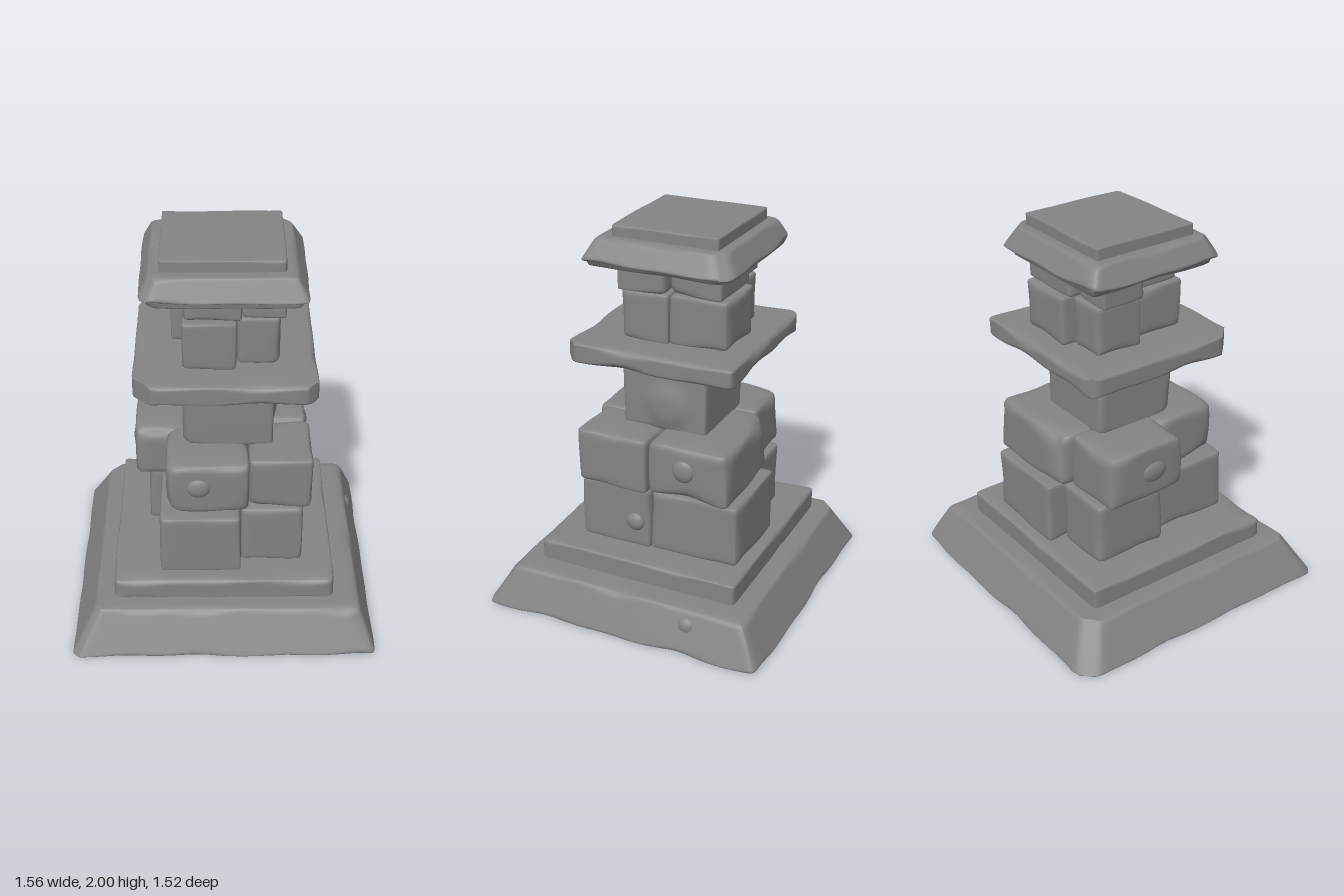
import * as THREE from 'three';
import { mergeVertices } from 'three/addons/utils/BufferGeometryUtils.js';

const stone = new THREE.MeshStandardMaterial({ color: 0x848484 });
const { lerp, clamp } = THREE.MathUtils;

// Smooth wear pattern, 0..1, continuous over space
function wear(x, y, z, seed) {
  const s = Math.sin(x * 15 + seed * 1.7) + Math.sin(y * 12 + z * 10 + seed * 2.3)
    + Math.sin(z * 16 - x * 7 + seed * 3.1);
  return clamp(0.5 + s / 6, 0, 1);
}

// Worn stone: a box with unevenly rounded edges. x, y, z are [min, max].
// topX, topZ: bounds at the top when the sides slope
// chips: upright corners cut off, as [signX, signZ, size]
// bulge: a soft swelling of the +x face, as [y, z, radius, height]
function block(name, x, y, z, { r = 0.03, topX = x, topZ = z, seed = 1, segs = 14, chips = [], bulge } = {}) {
  const h = [x, y, z].map(([a, b]) => (b - a) / 2);
  const c = [x, y, z].map(([a, b]) => (a + b) / 2);
  let geo = new THREE.BoxGeometry(2, 2, 2, segs, segs, segs);
  geo.deleteAttribute('normal');
  geo.deleteAttribute('uv');
  geo = mergeVertices(geo);
  const pos = geo.attributes.position;
  const p = new THREE.Vector3(), inner = new THREE.Vector3(), radii = new THREE.Vector3();
  for (let i = 0; i < pos.count; i++) {
    // crowd the grid lines towards the edges
    const u = [pos.getX(i), pos.getY(i), pos.getZ(i)].map(t => Math.sin(t * Math.PI / 2));
    p.set(u[0] * h[0], u[1] * h[1], u[2] * h[2]);
    // upright edges wear more than level ones
    const w = wear(c[0] + p.x, c[1] + p.y, c[2] + p.z, seed);
    const rad = r * (0.3 + 1.7 * w * w);
    radii.set(Math.min(rad * 1.6, h[0] * 0.9), Math.min(rad, h[1] * 0.9), Math.min(rad * 1.6, h[2] * 0.9));
    inner.set(
      clamp(p.x, radii.x - h[0], h[0] - radii.x),
      clamp(p.y, radii.y - h[1], h[1] - radii.y),
      clamp(p.z, radii.z - h[2], h[2] - radii.z));
    p.sub(inner).divide(radii).normalize().multiply(radii).add(inner);
    for (const [sx, sz, size] of chips) {
      const over = sx * p.x + sz * p.z - (h[0] + h[2] - size);
      if (over > 0) {
        p.x -= sx * over / 2;
        p.z -= sz * over / 2;
      }
    }
    // place between the lower and upper bounds
    const t = (p.y / h[1] + 1) / 2, fx = (p.x / h[0] + 1) / 2, fz = (p.z / h[2] + 1) / 2;
    p.set(
      lerp(lerp(x[0], topX[0], t), lerp(x[1], topX[1], t), fx),
      c[1] + p.y,
      lerp(lerp(z[0], topZ[0], t), lerp(z[1], topZ[1], t), fz));
    if (bulge && fx > 0.9) {
      const d = Math.hypot(p.y - bulge[0], p.z - bulge[1]) / bulge[2];
      p.x += bulge[3] * Math.exp(-2 * d ** 4);
    }
    pos.setXYZ(i, p.x, p.y, p.z);
  }
  geo.computeVertexNormals();
  const mesh = new THREE.Mesh(geo, stone);
  mesh.name = name;
  return mesh;
}

// Four stones set in a pinwheel, each pushed out past its neighbour
function course(name, y, stones, r, seed) {
  const g = new THREE.Group();
  g.name = name;
  ['frontStone', 'sideStoneA', 'backStone', 'sideStoneB'].forEach((n, i) =>
    g.add(block(n, stones[i][0], y, stones[i][1], { r, seed: seed + i * 2.4 })));
  return g;
}

// Small rounded lump on a stone face
function lump(position, size) {
  const m = new THREE.Mesh(new THREE.SphereGeometry(1, 16, 12), stone);
  m.name = 'stoneLump';
  m.position.set(...position);
  m.scale.set(...size);
  return m;
}

export function createModel() {
  const model = new THREE.Group();
  model.name = 'stonePillar';

  // Sloping plinth and step
  model.add(
    block('plinth', [-0.785, 0.78], [0.005, 0.227], [-0.765, 0.765], {
      topX: [-0.66, 0.69], topZ: [-0.65, 0.64], r: 0.024, seed: 2, segs: 30,
      chips: [[-1, -1, 0.09], [-1, 1, 0.04]],
    }),
    block('plinthStep', [-0.57, 0.565], [0.2, 0.335], [-0.55, 0.55], { r: 0.026, seed: 5, segs: 24 }));

  // Lower stone courses
  model.add(
    course('firstCourse', [0.33, 0.663], [
      [[-0.33, 0.085], [-0.01, 0.465]],
      [[0.085, 0.405], [-0.01, 0.38]],
      [[-0.085, 0.395], [-0.49, -0.01]],
      [[-0.4, -0.085], [-0.4, 0.01]],
    ], 0.022, 1),
    course('secondCourse', [0.665, 0.957], [
      [[-0.295, 0.125], [0, 0.425]],
      [[0.125, 0.447], [-0.01, 0.375]],
      [[-0.125, 0.43], [-0.447, -0.01]],
      [[-0.462, -0.125], [-0.37, 0.09]],
    ], 0.042, 4));

  // Shaft and wide slab
  model.add(
    block('shaft', [-0.21, 0.25], [0.94, 1.34], [-0.25, 0.21],
      { r: 0.02, seed: 3, segs: 24, bulge: [1.08, -0.04, 0.13, 0.025] }),
    block('slab', [-0.447, 0.457], [1.32, 1.425], [-0.475, 0.425], {
      r: 0.034, seed: 7, segs: 24,
      chips: [[-1, 1, 0.1], [1, 1, 0.06], [-1, -1, 0.05]],
    }));

  // Upper stone courses
  model.add(
    course('thirdCourse', [1.42, 1.675], [
      [[-0.205, 0.06], [-0.05, 0.26]],
      [[0.06, 0.275], [-0.055, 0.2]],
      [[-0.06, 0.26], [-0.365, -0.055]],
      [[-0.265, -0.06], [-0.3, -0.04]],
    ], 0.024, 6),
    course('fourthCourse', [1.678, 1.81], [
      [[-0.195, 0.085], [-0.05, 0.235]],
      [[0.085, 0.3], [-0.05, 0.205]],
      [[-0.085, 0.27], [-0.335, -0.05]],
      [[-0.3, -0.085], [-0.29, -0.04]],
    ], 0.024, 9));

  // Cap: flared underside, sloping roof and top plate
  model.add(
    block('capUnderside', [-0.37, 0.36], [1.797, 1.85], [-0.4, 0.33],
      { topX: [-0.395, 0.39], topZ: [-0.42, 0.34], r: 0.014, seed: 8, chips: [[1, -1, 0.06], [-1, 1, 0.05]] }),
    block('capRoof', [-0.414, 0.412], [1.828, 1.942], [-0.44, 0.355], {
      topX: [-0.355, 0.345], topZ: [-0.375, 0.295], r: 0.02, seed: 4, segs: 24,
      chips: [[1, -1, 0.07], [-1, 1, 0.05]],
    }),
    block('capPlate', [-0.305, 0.295], [1.92, 2], [-0.33, 0.238], { r: 0.008, seed: 6 }));

  // Lumps on the stone faces
  const lumps = [
    [[0.4, 0.47, 0.07], [0.03, 0.05, 0.05]],
    [[0.425, 0.83, -0.21], [0.026, 0.06, 0.06]],
    [[-0.13, 0.83, 0.42], [0.06, 0.055, 0.026]],
    [[-0.452, 0.81, -0.1], [0.024, 0.06, 0.08]],
    [[0.7, 0.14, -0.36], [0.036, 0.05, 0.05]],
  ];
  lumps.forEach(([p, s]) => model.add(lump(p, s)));

  return model;
}
